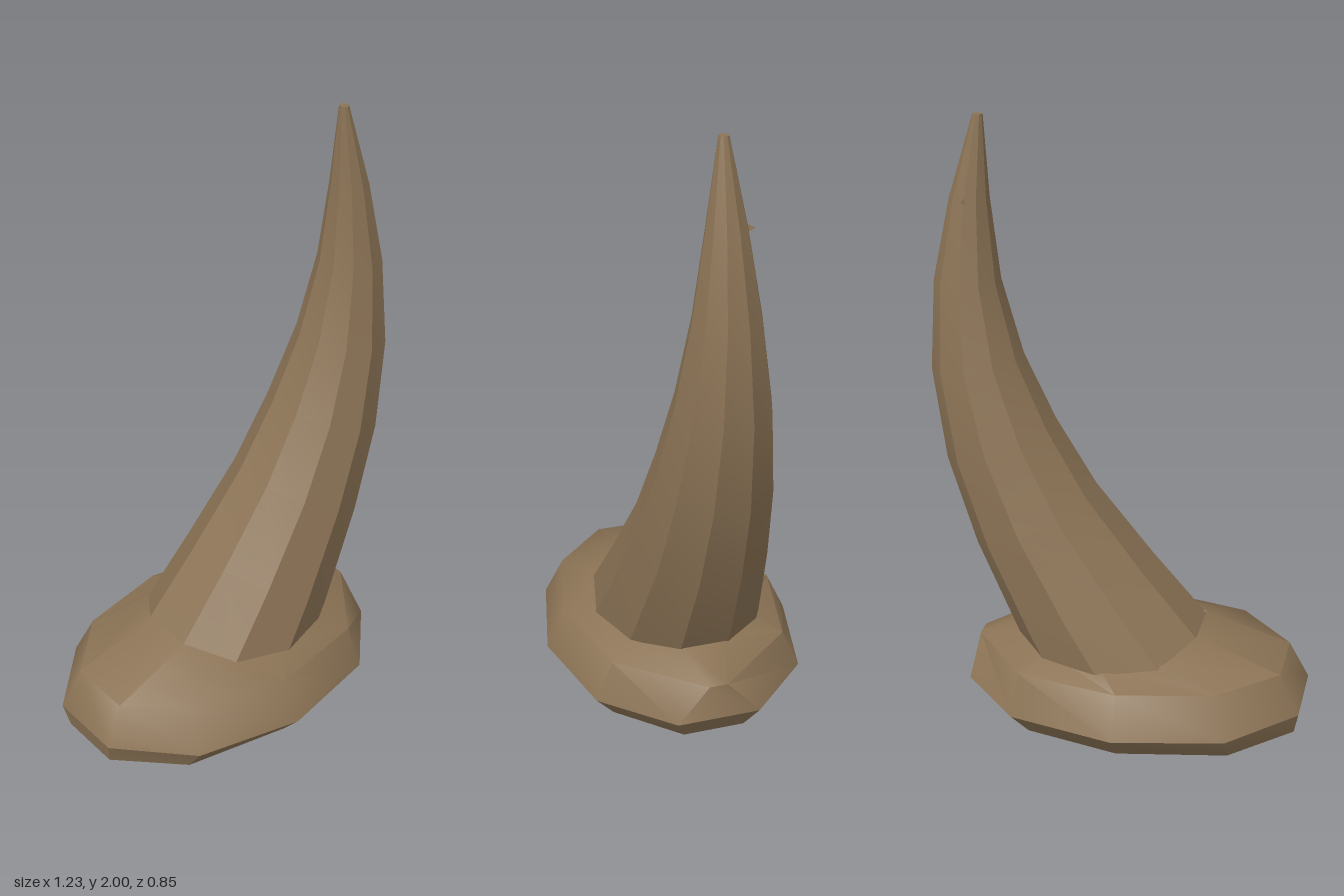
import * as THREE from 'three';
import { toCreasedNormals } from 'three/addons/utils/BufferGeometryUtils.js';

const rad = THREE.MathUtils.degToRad;

// Skin a stack of closed rings (bottom to top), with optional end caps
function loft(rings, creaseDeg, capBottom, capTop) {
  const pos = [];
  const tri = (...pts) => pts.forEach((p) => pos.push(p.x, p.y, p.z));
  const centre = (ring) => ring.reduce((s, p) => s.add(p), new THREE.Vector3()).divideScalar(ring.length);
  const n = rings[0].length;
  const first = rings[0];
  const last = rings[rings.length - 1];
  for (let j = 0; j < n; j++) {
    const k = (j + 1) % n;
    for (let i = 0; i < rings.length - 1; i++) {
      const a = rings[i], b = rings[i + 1];
      tri(a[j], b[j], b[k]);
      tri(a[j], b[k], a[k]);
    }
    if (capBottom) tri(centre(first), first[j], first[k]);
    if (capTop) tri(centre(last), last[k], last[j]);
  }
  const geo = new THREE.BufferGeometry();
  geo.setAttribute('position', new THREE.Float32BufferAttribute(pos, 3));
  return toCreasedNormals(geo, rad(creaseDeg));
}

// Ten-sided ring from five [x, y, z] points, mirrored across z
function mirrorRing(half) {
  const near = half.map(([x, y, z]) => new THREE.Vector3(x, y, z));
  const far = half.map(([x, y, z]) => new THREE.Vector3(x, y, -z)).reverse();
  return [...near, ...far];
}

// Ten-sided ring whose flat sides meet the points (x0,y0) and (x1,y1)
function hornRing([x0, y0, x1, y1]) {
  const cx = (x0 + x1) / 2, cy = (y0 + y1) / 2;
  const half = Math.hypot(x1 - x0, y1 - y0) / 2;
  const r = half / Math.cos(rad(18));
  const ux = (x1 - x0) / (2 * half), uy = (y1 - y0) / (2 * half);
  return Array.from({ length: 10 }, (_, k) => {
    const a = rad(18 + 36 * k);
    const u = r * Math.cos(a);
    return new THREE.Vector3(cx + ux * u, cy + uy * u, r * Math.sin(a) - 0.005);
  });
}

export function createModel() {
  const group = new THREE.Group();
  const brown = new THREE.MeshStandardMaterial({ color: 0x8b7355 });
  brown.name = 'horn brown';
  const add = (name, geo) => {
    const mesh = new THREE.Mesh(geo, brown);
    mesh.name = name;
    group.add(mesh);
    return mesh;
  };

  // Curved tapering horn: inner and outer edge of each ring
  const hornEdges = [
    [-0.27, 0.34, 0.175, 0.0],
    [-0.09, 0.55, 0.33, 0.29],
    [0.10, 0.79, 0.47, 0.60],
    [0.23, 1.01, 0.565, 0.89],
    [0.33, 1.23, 0.61, 1.19],
    [0.395, 1.48, 0.595, 1.48],
    [0.42, 1.74, 0.54, 1.74],
    [0.43, 2.0, 0.46, 2.0],
  ];
  add('horn', loft(hornEdges.map(hornRing), 25, true, true));

  // Base collar: flat underside, bevelled rim, rounded top
  const under = mirrorRing([[0.44, 0.04, 0.1], [0.25, 0.035, 0.28], [-0.06, 0.035, 0.35], [-0.41, 0.04, 0.29], [-0.6, 0.045, 0.11]]);
  const rim = mirrorRing([[0.493, 0.12, 0.135], [0.29, 0.12, 0.345], [-0.06, 0.12, 0.423], [-0.41, 0.12, 0.345], [-0.615, 0.12, 0.13]]);
  const shoulder = mirrorRing([[0.485, 0.237, 0.03], [0.28, 0.25, 0.29], [-0.06, 0.255, 0.36], [-0.37, 0.255, 0.29], [-0.55, 0.25, 0.11]]);
  const neck = mirrorRing([[0.32, 0.295, 0.07], [0.2, 0.285, 0.2], [0.01, 0.285, 0.265], [-0.17, 0.305, 0.22], [-0.27, 0.345, 0.09]]);
  add('baseUnderside', loft([under, rim], 25, true, false));
  add('baseTop', loft([rim, shoulder, neck], 48, false, false));

  // Small burr near the tip
  const burr = add('burr', new THREE.ConeGeometry(0.02, 0.04, 3).toNonIndexed());
  burr.geometry.computeVertexNormals();
  burr.rotation.x = -Math.PI / 2;
  burr.position.set(0.48, 1.74, -0.07);

  return group;
}
